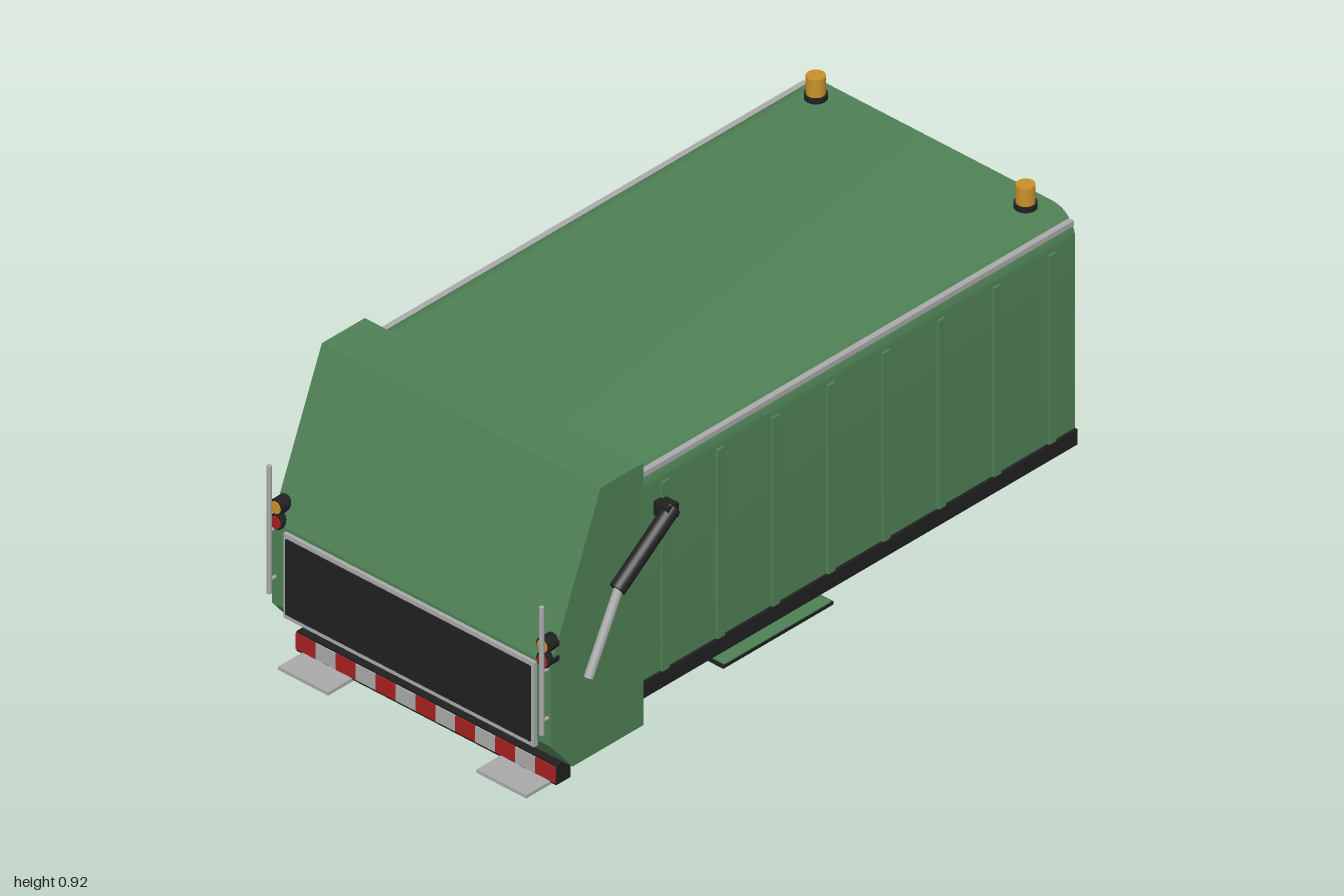
import * as THREE from 'three';
import { toCreasedNormals } from 'three/addons/utils/BufferGeometryUtils.js';

const paint = (name, color) => {
  const m = new THREE.MeshStandardMaterial({ color });
  m.name = name;
  return m;
};

export function createModel() {
  const green = paint('green paint', 0x4f8055);
  const black = paint('black', 0x202020);
  const grey = paint('light grey metal', 0xa9a9a9);
  const amber = paint('amber lens', 0xc8902a);
  const red = paint('red', 0xa82020);
  const model = new THREE.Group();
  model.name = 'refuseBody';

  const add = (name, geo, mat) => {
    const mesh = new THREE.Mesh(geo, mat);
    mesh.name = name;
    model.add(mesh);
    return mesh;
  };
  // box given by its minimum and maximum on each axis
  const box = (name, mat, x0, x1, y0, y1, z0, z1) => {
    const b = add(name, new THREE.BoxGeometry(x1 - x0, y1 - y0, Math.abs(z1 - z0)), mat);
    b.position.set((x0 + x1) / 2, (y0 + y1) / 2, (z0 + z1) / 2);
    return b;
  };
  // cylinder between two points
  const rod = (name, mat, a, b, r, sides = 16) => {
    const p = new THREE.Vector3(...a), q = new THREE.Vector3(...b);
    const d = q.clone().sub(p);
    const c = add(name, new THREE.CylinderGeometry(r, r, d.length(), sides), mat);
    c.position.copy(p).add(q).multiplyScalar(0.5);
    c.quaternion.setFromUnitVectors(new THREE.Vector3(0, 1, 0), d.normalize());
    return c;
  };

  // container with rounded roof edges, extruded along x
  const w = 0.478, top = 0.852, r = 0.08;
  const section = new THREE.Shape();
  section.moveTo(-w, 0.145);
  section.lineTo(w, 0.145);
  section.lineTo(w, top - r);
  section.absarc(w - r, top - r, r, 0, Math.PI / 2, false);
  section.absarc(-w + r, top - r, r, Math.PI / 2, Math.PI, false);
  section.closePath();
  const hull = new THREE.ExtrudeGeometry(section, { depth: 1.62, bevelEnabled: false, curveSegments: 10 });
  hull.rotateY(Math.PI / 2).translate(-0.62, 0, 0);
  add('container', toCreasedNormals(hull, 0.6), green);

  // tailgate, side profile extruded across z
  const profile = new THREE.Shape([
    [-0.62, 0.067], [-0.62, 0.87], [-0.78, 0.87], [-0.965, 0.415], [-0.965, 0.165], [-0.885, 0.067],
  ].map(([x, y]) => new THREE.Vector2(x, y)));
  const gate = new THREE.ExtrudeGeometry(profile, { depth: 0.978, bevelEnabled: false });
  add('tailgate', gate.translate(0, 0, -0.489), green);

  // rear hatch: grey frame with dark panel
  box('hatchFrame', grey, -0.976, -0.962, 0.147, 0.405, -0.44, 0.44);
  box('hatchPanel', black, -0.98, -0.974, 0.162, 0.392, -0.43, 0.43);

  // rear bumper with warning stripes
  box('bumper', black, -0.91, -0.856, 0.006, 0.067, -0.455, 0.455);
  for (let i = 0; i < 13; i++) {
    const z = -0.455 + i * 0.07;
    box('warningStripe', i % 2 ? grey : red, -0.914, -0.909, 0.014, 0.062, z, z + 0.07);
  }

  for (const s of [1, -1]) {
    // side rails and ribs
    box('sillRail', black, -0.62, 0.999, 0.146, 0.193, s * 0.47, s * 0.487);
    box('roofTrim', grey, -0.62, 0.999, 0.811, 0.826, s * 0.455, s * 0.475);
    for (let i = 0; i < 8; i++) {
      const x = -0.533 + i * 0.206;
      box('sideRib', green, x - 0.013, x + 0.013, 0.193, 0.77, s * 0.47, s * 0.486);
    }

    // side step plates under the container
    box('sideStep', black, -0.34, 0.07, 0.111, 0.121, s * 0.345, s * 0.505);
    box('sideStepTop', green, -0.335, 0.065, 0.12, 0.124, s * 0.35, s * 0.504);

    // hydraulic ram
    const z = s * 0.517;
    box('ramMount', black, -0.572, -0.532, 0.682, 0.724, s * 0.47, s * 0.53);
    rod('ramBarrel', black, [-0.542, 0.708, z], [-0.748, 0.556, z], 0.023, 20);
    rod('ramRod', grey, [-0.738, 0.565, z], [-0.855, 0.338, z], 0.013);

    // roof beacon
    rod('beaconBase', black, [0.932, 0.848, s * 0.368], [0.932, 0.868, s * 0.368], 0.031, 20);
    rod('beaconLens', amber, [0.932, 0.866, s * 0.368], [0.932, 0.922, s * 0.368], 0.026, 20);

    // tail lamps, stacked in pairs
    for (const [y, lens] of [[0.425, red], [0.47, amber]]) {
      rod('lampHousing', black, [-0.935, y, s * 0.468], [-0.974, y, s * 0.468], 0.023);
      rod('lampLens', lens, [-0.972, y, s * 0.468], [-0.977, y, s * 0.468], 0.018);
    }

    // grab handle
    rod('grabHandle', grey, [-0.988, 0.21, s * 0.478], [-0.988, 0.6, s * 0.478], 0.007, 10);
    for (const y of [0.25, 0.4]) {
      rod('handleBracket', grey, [-0.988, y, s * 0.478], [-0.96, y, s * 0.478], 0.005, 8);
    }

    // rear footboard and bumper bracket
    box('footboard', grey, -1, -0.86, 0, 0.01, s * 0.26, s * 0.435);
    box('bumperBracket', black, -0.858, -0.848, 0.035, 0.068, s * 0.288, s * 0.322);
  }
  return model;
}
